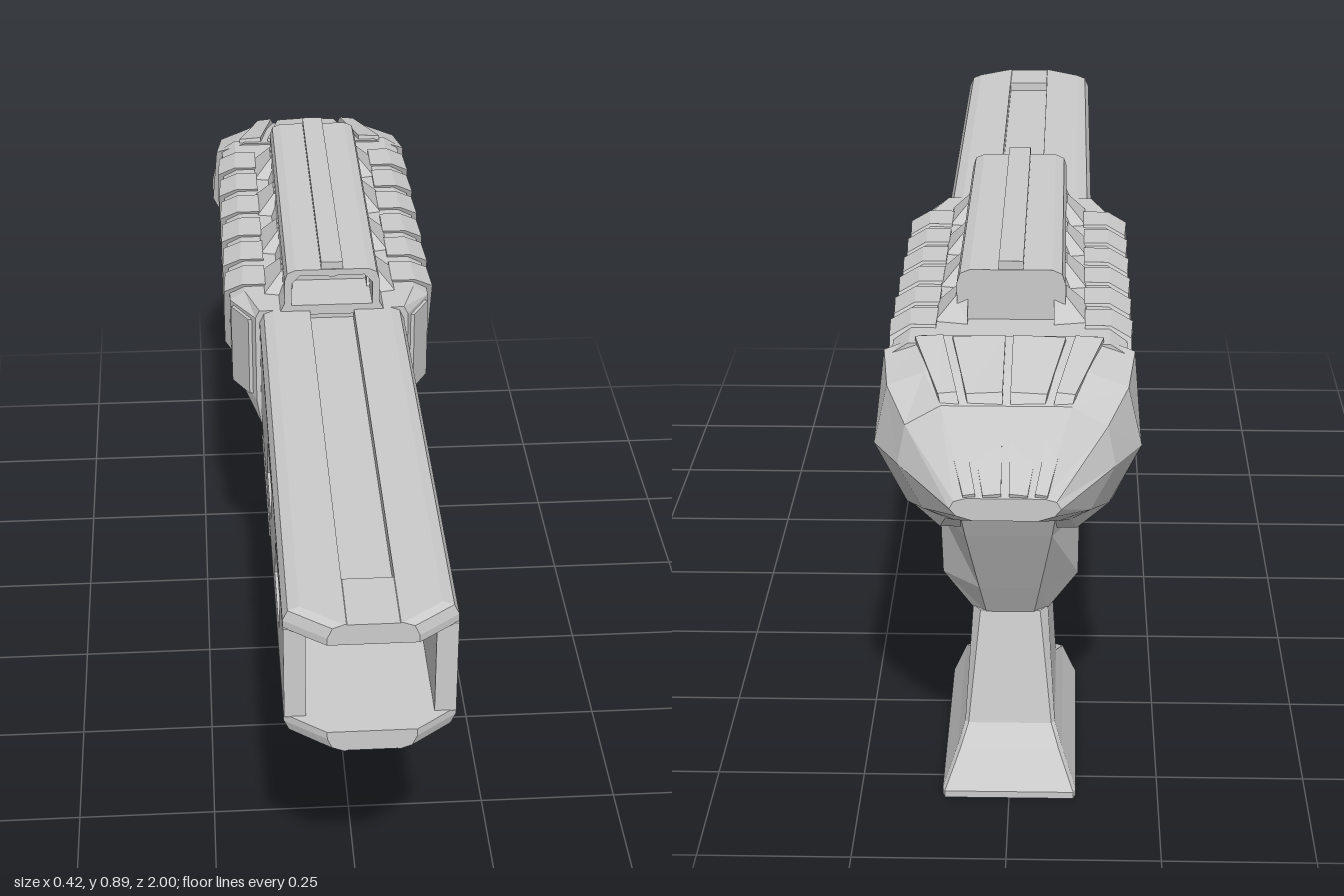
import * as THREE from 'three';

const material = new THREE.MeshStandardMaterial({ color: 0xcccccc, flatShading: true });

// Closed solid through matching rings of [x, y, z]; the caps are flattened along the given axis.
function loft(rings, axis = 'z') {
  const n = rings[0].length, last = (rings.length - 1) * n, index = [];
  for (let r = 0; r < rings.length - 1; r++) {
    for (let i = 0; i < n; i++) {
      const j = (i + 1) % n, a = r * n + i, b = r * n + j;
      index.push(a, b, b + n, a, b + n, a + n);
    }
  }
  const cap = (ring, base, flip) => {
    const flat = ring.map(p => new THREE.Vector2(p[0], axis === 'z' ? p[1] : p[2]));
    const turn = (THREE.ShapeUtils.area(flat) < 0) !== flip;
    for (const [a, b, c] of THREE.ShapeUtils.triangulateShape(flat, [])) {
      index.push(base + a, base + (turn ? c : b), base + (turn ? b : c));
    }
  };
  cap(rings[0], 0, true);
  cap(rings[rings.length - 1], last, false);
  // Turn the faces outwards using the signed volume
  const pts = rings.flat().map(p => new THREE.Vector3(...p));
  let volume = 0;
  for (let i = 0; i < index.length; i += 3) {
    volume += pts[index[i]].dot(pts[index[i + 1]].clone().cross(pts[index[i + 2]]));
  }
  if (volume < 0) index.reverse();
  const geo = new THREE.BufferGeometry().setFromPoints(pts);
  geo.setIndex(index);
  const out = geo.toNonIndexed();
  out.computeVertexNormals();
  return out;
}

// Complete a right-hand half outline with its mirror image.
const mirror = half => [...half, ...half.slice().reverse().map(([x, y, z]) => [-x, y, z])];
const section = (z, half, slant = 0) => mirror(half.map(([x, y]) => [x, y, z - (0.8 - y) * slant]));

function shapeOf(points) {
  return new THREE.Shape(points.map(p => new THREE.Vector2(...p)));
}

export function createModel() {
  const model = new THREE.Group();
  const add = (name, geo, parent = model) => {
    const mesh = new THREE.Mesh(geo, material);
    mesh.name = name;
    parent.add(mesh);
    return mesh;
  };
  const group = name => {
    const g = new THREE.Group();
    g.name = name;
    model.add(g);
    return g;
  };
  const box = (w, h, d, x, y, z) => new THREE.BoxGeometry(w, h, d).translate(x, y, z);

  // Hollow barrel: slotted top and bottom plates, windowed side walls
  const barrel = group('barrel');
  const plate = (z, hw, slotY, flip) => section(z, [
    [0.04, slotY], [0.041, 0.793], [hw - 0.026, 0.793], [hw - 0.008, 0.786], [hw, 0.768], [hw, 0.755],
  ].map(([x, y]) => [x, flip ? 1.343 - y : y]));
  for (const flip of [false, true]) {
    add(flip ? 'barrelBottom' : 'barrelTop', loft([
      plate(-0.05, 0.135, 0.775, flip), plate(0.88, 0.135, 0.775, flip), plate(0.881, 0.135, 0.792, flip),
      plate(0.95, 0.135, 0.792, flip), plate(0.985, 0.09, 0.792, flip), plate(1, 0.07, 0.792, flip),
    ]), barrel);
  }
  const wall = shapeOf([[-0.05, 0.587], [0.957, 0.587], [0.957, 0.756], [-0.05, 0.756]]);
  for (const z of [0.83, 0.52]) {
    wall.holes.push(shapeOf([[z, 0.72], [z - 0.16, 0.72], [z - 0.21, 0.625], [z - 0.05, 0.625]]));
  }
  for (const side of [1, -1]) {
    const geo = new THREE.ExtrudeGeometry(wall, { depth: 0.034, bevelEnabled: false });
    geo.rotateY(-Math.PI / 2).translate(side > 0 ? 0.1345 : -0.1005, 0, 0);
    add('barrelSide', geo, barrel);
  }
  add('barrelBackWall', box(0.21, 0.18, 0.02, 0, 0.67, 0.03), barrel);

  // Faceted body
  const bodyHalf = low => [[0.16, 0.793], [0.188, 0.775], [0.188, 0.64], [0.15, 0.55], [0.11, low]];
  add('body', loft([
    section(0.015, [[0.135, 0.793], [0.143, 0.778], [0.143, 0.6], [0.135, 0.55], [0.1, 0.545]]),
    section(-0.065, bodyHalf(0.52)), section(-0.13, bodyHalf(0.5)), section(-0.75, bodyHalf(0.5)),
  ]));

  // Slanted slats and front cheek panels on both sides
  const slats = group('sideSlats');
  for (const s of [1, -1]) {
    for (let i = 0; i < 6; i++) {
      const z0 = -0.085 - i * 0.104;
      add('slat', loft([[0.798, 0.165], [0.78, 0.199], [0.64, 0.199], [0.585, 0.172]].map(([y, x]) => {
        const z = z0 - (0.79 - y) * 0.42;
        return [[s * 0.12, y, z], [s * x, y, z], [s * (x - 0.004), y, z - 0.078], [s * 0.12, y, z - 0.078]];
      }), 'y'), slats);
    }
    add('cheekPanel', loft([0.77, 0.61].map(y => [
      [s * 0.13, y, 0], [s * 0.156, y, 0.005], [s * 0.187, y, -0.05], [s * 0.15, y, -0.06],
    ]), 'y'));
  }

  // Tapered rear cap with raised plates separated by grooves
  add('rearCap', loft([
    section(-0.725, [[0.14, 0.797], [0.2, 0.775], [0.21, 0.65], [0.167, 0.55], [0.11, 0.503]], 0.3),
    section(-0.84, [[0.13, 0.78], [0.188, 0.757], [0.21, 0.66], [0.16, 0.56], [0.1, 0.53]]),
    section(-0.92, [[0.1, 0.757], [0.155, 0.725], [0.168, 0.66], [0.13, 0.585], [0.08, 0.565]]),
    section(-0.995, [[0.06, 0.637], [0.078, 0.632], [0.085, 0.62], [0.075, 0.608], [0.05, 0.6]]),
  ]));
  const capPlates = group('rearCapPlates');
  const bands = [
    [[0.006, 0.09], [0.006, 0.062], [0.006, 0.034]],
    [[0.105, 0.15], [0.076, 0.105], [0.045, 0.064]],
  ];
  for (const s of [1, -1]) {
    for (const band of bands) {
      const path = [[-0.74, 0.804], [-0.905, 0.774], [-0.995, 0.645]];
      add('capPlate', loft(path.map(([z, y], k) => {
        const [a, b] = band[k];
        return [[s * a, y, z], [s * b, y - 0.003, z], [s * b, y - 0.04, z + 0.01], [s * a, y - 0.04, z + 0.01]];
      })), capPlates);
    }
  }

  // Top housing with an open front, a thin ridge and side fins
  const rail = group('topHousing');
  const outer = [[-0.1, 0.785], [0.1, 0.785], [0.088, 0.81], [0.088, 0.855], [0.083, 0.871], [0.067, 0.878],
    [-0.067, 0.878], [-0.083, 0.871], [-0.088, 0.855], [-0.088, 0.81]];
  const frame = shapeOf(outer);
  frame.holes.push(shapeOf([[-0.075, 0.805], [0.075, 0.805], [0.075, 0.85], [0.06, 0.866], [0.012, 0.866],
    [0, 0.862], [-0.012, 0.866], [-0.06, 0.866], [-0.075, 0.85]]));
  const extrude = (shape, z0, z1) =>
    new THREE.ExtrudeGeometry(shape, { depth: z1 - z0, bevelEnabled: false }).translate(0, 0, z0);
  add('housingFrame', extrude(frame, -0.08, 0.02), rail);
  add('housing', extrude(shapeOf(outer), -0.64, -0.08), rail);
  add('ridge', box(0.04, 0.018, 0.655, 0, 0.883, -0.31), rail);
  for (const s of [1, -1]) {
    for (let i = 0; i < 4; i++) {
      const z = -0.1 - i * 0.168;
      add('fin', loft([[0.785, 0.125, 0.064], [0.795, 0.122, 0.06], [0.83, 0.09, 0.034]].map(([y, x, h]) => [
        [s * 0.07, y, z - h], [s * x, y, z - h * 0.8], [s * x, y, z + h * 0.8], [s * 0.07, y, z + h],
      ]), 'y'), rail);
    }
  }

  // Grip: rings of [y, front z, back z, half width, front half width, back half width, chamfer]
  const gripRing = ([y, zf, zb, hw, fh, bh, c]) =>
    mirror([[fh, y, zf], [hw, y, zf - c], [hw, y, zb + c], [bh, y, zb]]);
  add('upperGrip', loft([
    [0.53, -0.31, -0.84, 0.113, 0.09, 0.075, 0.09], [0.49, -0.335, -0.82, 0.114, 0.08, 0.07, 0.09],
    [0.36, -0.405, -0.75, 0.113, 0.05, 0.05, 0.06], [0.297, -0.425, -0.715, 0.064, 0.03, 0.04, 0.02],
  ].map(gripRing), 'y'));
  add('lowerGrip', loft([
    [0.3, -0.425, -0.715, 0.063, 0.03, 0.05, 0.02], [0.105, -0.488, -0.752, 0.076, 0.074, 0.07, 0.008],
    [0.07, -0.405, -0.778, 0.088, 0.065, 0.083, 0.012], [0.012, -0.395, -0.82, 0.112, 0.097, 0.108, 0.012],
    [0, -0.395, -0.82, 0.112, 0.097, 0.108, 0.012],
  ].map(gripRing), 'y'));

  // Guard strap tapering from the body down to the grip
  add('triggerGuard', loft([
    [0.02, 0.125, 0.575, 0.543], [-0.06, 0.108, 0.525, 0.485], [-0.315, 0.04, 0.338, 0.3],
    [-0.45, 0.05, 0.342, 0.29],
  ].map(([z, hw, top, low]) => section(z, [[hw * 0.8, top], [hw, top - 0.008], [hw * 0.6, low]]))));

  return model;
}
